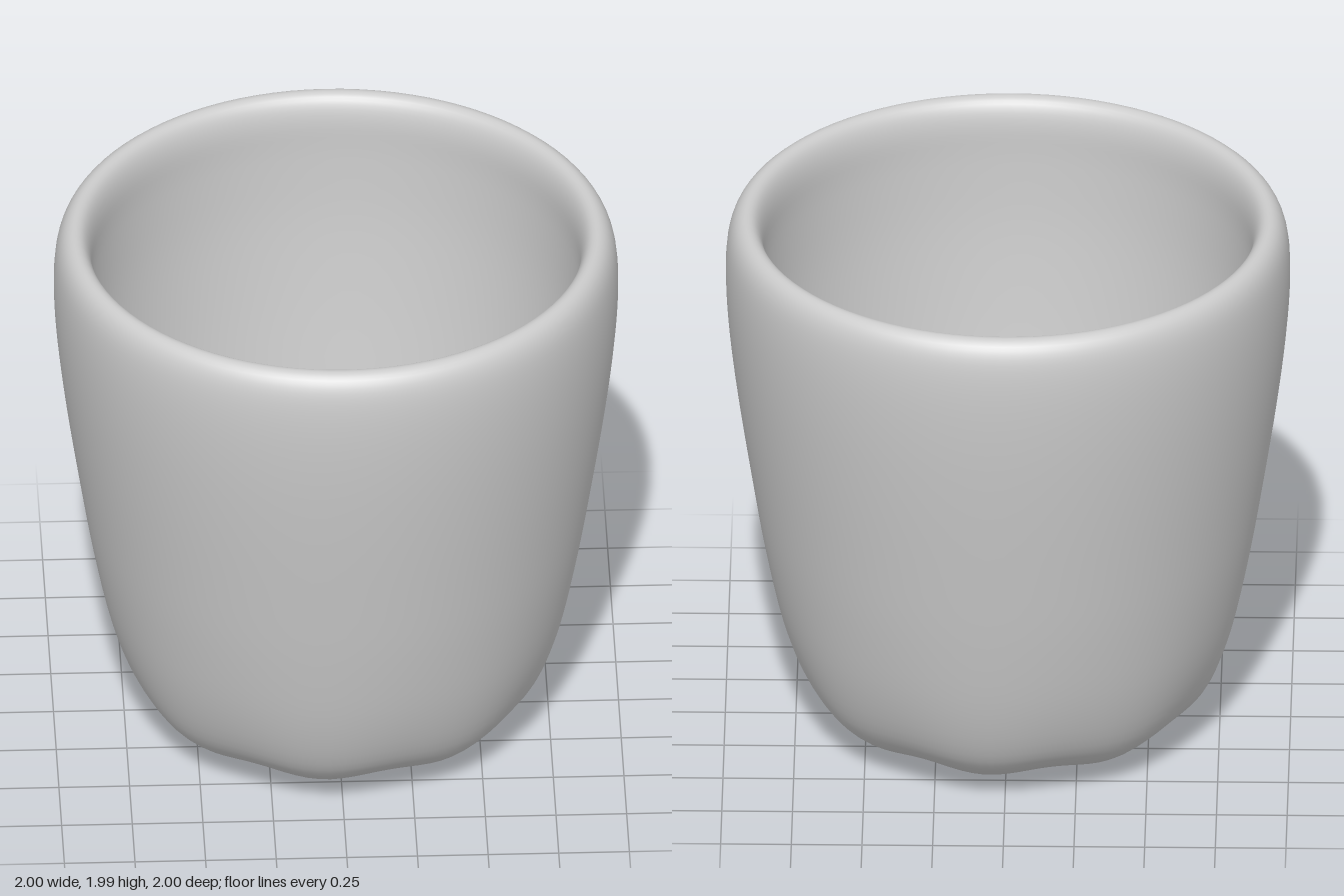
import * as THREE from 'three';
import { mergeVertices } from 'three/addons/utils/BufferGeometryUtils.js';

// Closed wall profile [radius, height]: underside, outer wall, rim, inner wall, floor
const PROFILE = [
  [0, 0.005], [0.22, 0.005], [0.4, 0.02], [0.54, 0.05], [0.65, 0.115], [0.73, 0.22], [0.8, 0.42],
  [0.86, 0.7], [0.91, 1.0], [0.955, 1.3], [0.985, 1.55], [0.998, 1.75], [0.993, 1.89],
  [0.97, 1.965], [0.93, 1.995], [0.89, 1.975], [0.867, 1.9], [0.864, 1.75], [0.85, 1.5],
  [0.815, 1.2], [0.77, 0.9], [0.725, 0.62], [0.67, 0.38], [0.59, 0.23], [0.46, 0.165],
  [0.25, 0.14], [0, 0.135],
];

// Soft hand-formed lobes around the foot, fading out up the wall and at the centre
function addLobes(geometry) {
  const pos = geometry.attributes.position;
  for (let i = 0; i < pos.count; i++) {
    const x = pos.getX(i), y = pos.getY(i), z = pos.getZ(i);
    const r = Math.hypot(x, z);
    const angle = Math.atan2(z, x);
    const fade = Math.max(0, 1 - y / 0.9) ** 2;
    const wave = Math.sin(angle * 8 + 0.6);
    const scale = 1 + 0.007 * fade * wave;
    const lift = 0.012 * fade * Math.min(1, r / 0.5) * (1 - wave);
    pos.setXYZ(i, x * scale, y + lift, z * scale);
  }
}

export function createModel() {
  const group = new THREE.Group();
  group.name = 'cup';

  // Cup body: one revolved wall, smooth all over
  const curve = new THREE.SplineCurve(PROFILE.map(([r, y]) => new THREE.Vector2(r, y)));
  const points = curve.getPoints(104);
  points.forEach((p) => { p.x = Math.max(0, p.x); });
  let geometry = new THREE.LatheGeometry(points, 96);
  geometry.deleteAttribute('uv');
  geometry.deleteAttribute('normal');
  geometry = mergeVertices(geometry, 1e-5);
  addLobes(geometry);
  geometry.computeVertexNormals();

  const body = new THREE.Mesh(geometry, new THREE.MeshStandardMaterial({ color: 0xcccccc }));
  body.name = 'cupBody';
  group.add(body);
  return group;
}
